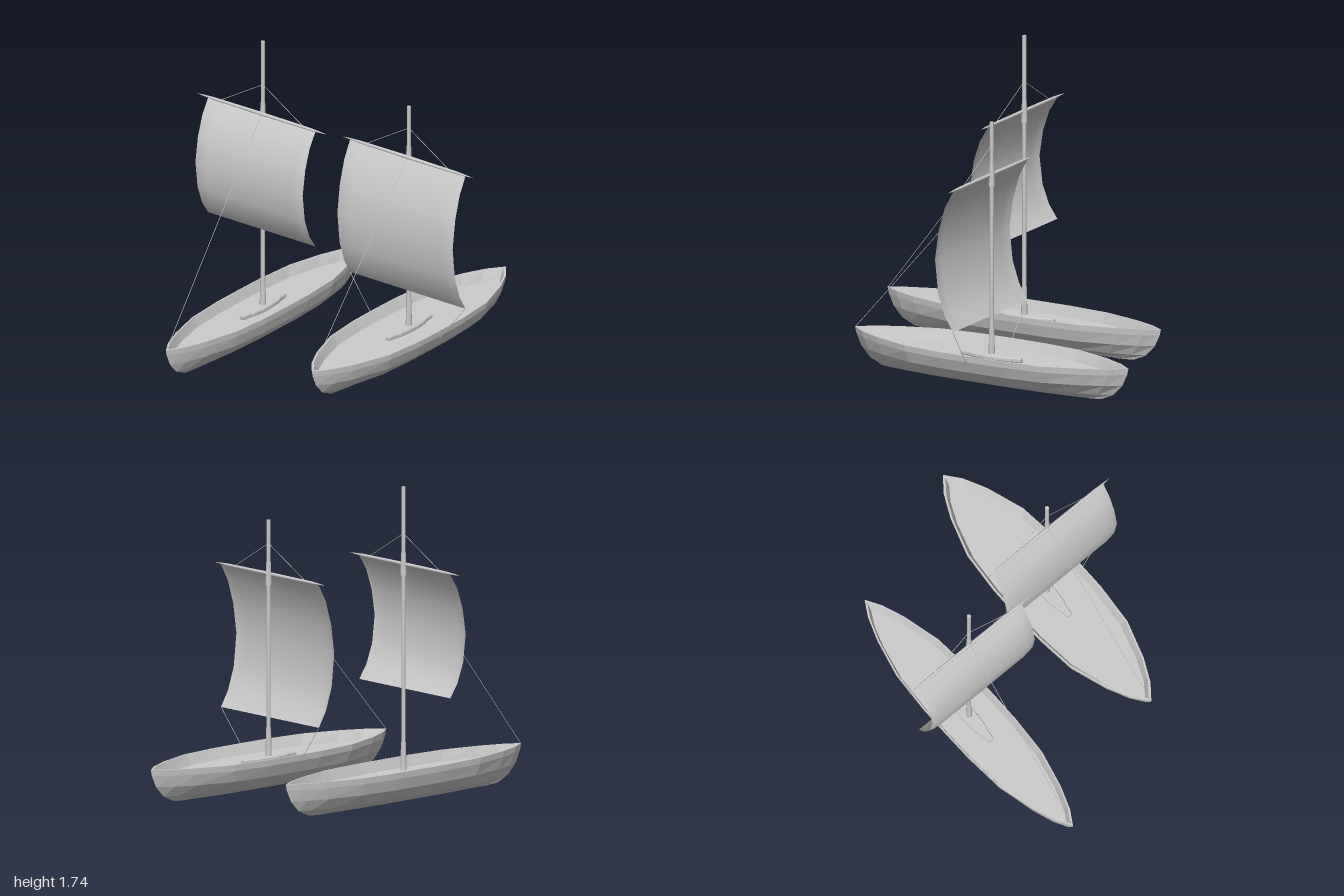
import * as THREE from 'three';

const smooth = new THREE.MeshStandardMaterial({ color: 0xcccccc });
const faceted = new THREE.MeshStandardMaterial({ color: 0xcccccc, flatShading: true });
const cloth = new THREE.MeshStandardMaterial({ color: 0xcccccc, side: THREE.DoubleSide });

function add(parent, name, geometry, material = smooth) {
  const mesh = new THREE.Mesh(geometry, material);
  mesh.name = name;
  parent.add(mesh);
  return mesh;
}

// Half outline of the hull seen from above: [along, across], both 0..1
const OUTLINE = [[0, 1], [0.22, 0.99], [0.5, 0.89], [0.75, 0.58], [0.9, 0.3], [1, 0]];
// Waterlines from keel over the rim to the deck: [length scale, width scale, y]
const LEVELS = [
  [0.71, 0, 0], [0.8, 0.2, 0.005], [0.89, 0.56, 0.04], [0.955, 0.86, 0.1], [0.99, 0.98, 0.165],
  [1, 1, 0.2], [0.975, 0.96, 0.2], [0.94, 0.86, 0.14], [0.9, 0, 0.14],
];

function hullGeometry(halfLength, halfWidth) {
  const bow = OUTLINE.slice(1);
  const side = [...bow.map(([t, w]) => [-t, w]).reverse(), ...OUTLINE];
  const ring = [...side, ...side.slice(1, -1).reverse().map(([t, w]) => [t, -w])];
  const n = ring.length, pos = [], index = [];
  LEVELS.forEach(([sx, sz, y], l) => {
    ring.forEach(([t, w], i) => {
      pos.push(t * sx * halfLength, y, w * sz * halfWidth);
      if (l === LEVELS.length - 1) return;
      const a = l * n + i, b = l * n + (i + 1) % n;
      index.push(a, b, b + n, a, b + n, a + n);
    });
  });
  const g = new THREE.BufferGeometry();
  g.setAttribute('position', new THREE.Float32BufferAttribute(pos, 3));
  g.setIndex(index);
  const flat = g.toNonIndexed();
  flat.computeVertexNormals();
  return flat;
}

// Square sail bellied towards -x, a little less at its side edges
function sailGeometry(width, bottom, top, belly) {
  const rows = [[0, 1], [0.45, 0.88], [0.8, 0.71], [1, 0.5], [0.83, 0.27], [0.46, 0.11], [0, 0]];
  const cols = [[0, 0.89], [0.04, 0.95], [0.1, 0.99], [0.5, 1], [0.9, 0.99], [0.96, 0.95], [1, 0.89]];
  const g = new THREE.PlaneGeometry(1, 1, cols.length - 1, rows.length - 1);
  const p = g.attributes.position;
  rows.forEach(([b, v], r) => cols.forEach(([u, e], c) => {
    p.setXYZ(r * cols.length + c, -belly * b * e, bottom + (top - bottom) * v, (u - 0.5) * width);
  }));
  g.computeVertexNormals();
  return g;
}

function rope(parent, name, from, to) {
  const a = new THREE.Vector3(...from), b = new THREE.Vector3(...to);
  const mesh = add(parent, name, new THREE.CylinderGeometry(0.0017, 0.0017, a.distanceTo(b), 5));
  mesh.position.copy(a).lerp(b, 0.5);
  mesh.quaternion.setFromUnitVectors(new THREE.Vector3(0, 1, 0), b.sub(a).normalize());
}

function cylinder(parent, name, rTop, rBottom, y0, y1) {
  add(parent, name, new THREE.CylinderGeometry(rTop, rBottom, y1 - y0, 12)).position.y = (y0 + y1) / 2;
}

// Mast step: a long tapered plank lying on the deck
function mastStep(parent) {
  const half = [[0.19, 0.015], [0.13, 0.022], [0.11, 0.031], [0.03, 0.039]];
  const right = [...half, ...half.map(([x, z]) => [-x, z]).reverse()];
  const shape = new THREE.Shape([...right, ...right.map(([x, z]) => [x, -z]).reverse()]
    .map(([x, z]) => new THREE.Vector2(x, z)));
  const g = new THREE.ExtrudeGeometry(shape, {
    depth: 0.015, bevelSize: 0.004, bevelOffset: -0.004, bevelThickness: 0.006, bevelSegments: 1,
  });
  g.rotateX(-Math.PI / 2);
  add(parent, 'mastStep', g, faceted).position.y = 0.145;
}

function boat(name, o) {
  const group = new THREE.Group();
  group.name = name;
  add(group, 'hull', hullGeometry(0.865, o.halfWidth), faceted);
  mastStep(group);

  // Mast with thick foot and yard collar
  cylinder(group, 'mast', 0.011, 0.012, 0.14, o.mastTop);
  cylinder(group, 'mastFoot', 0.014, 0.018, 0.14, 0.32);
  cylinder(group, 'yardCollar', 0.013, 0.017, o.yardY - 0.06, o.yardY + 0.065);

  // Yard with pointed ends
  const profile = [[0, -0.447], [0.004, -0.4], [0.008, -0.33], [0.01, 0], [0.008, 0.33], [0.004, 0.4], [0, 0.447]];
  const yardGeometry = new THREE.LatheGeometry(profile.map(([r, y]) => new THREE.Vector2(r, y)), 10);
  yardGeometry.rotateX(Math.PI / 2);
  add(group, 'yard', yardGeometry).position.set(-0.01, o.yardY, 0);

  const sail = add(group, 'sail', sailGeometry(o.sailWidth, o.sailBottom, o.yardY - 0.006, 0.127), cloth);
  sail.position.x = -0.01;

  // Rigging
  rope(group, 'forestay', [-0.86, 0.2, 0], [-0.01, o.yardY, 0]);
  for (const s of [-1, 1]) {
    rope(group, 'yardLift', [0, o.yardY + 0.17, 0], [-0.01, o.yardY + 0.008, s * 0.275]);
    if (o.sheets) {
      rope(group, 'sheet', [-0.01, o.sailBottom, s * o.sailWidth / 2], [-0.025, 0.16, s * o.halfWidth]);
    }
  }
  group.position.set(o.x, 0, o.z);
  return group;
}

export function createModel() {
  const model = new THREE.Group();
  model.name = 'sailingBoats';
  model.add(
    boat('wideBoat', {
      x: 0.133, z: 0.397, halfWidth: 0.229, mastTop: 1.47, yardY: 1.17,
      sailWidth: 0.79, sailBottom: 0.375, sheets: true,
    }),
    boat('narrowBoat', {
      x: -0.135, z: -0.397, halfWidth: 0.172, mastTop: 1.735, yardY: 1.305,
      sailWidth: 0.735, sailBottom: 0.615, sheets: false,
    }),
  );
  return model;
}
